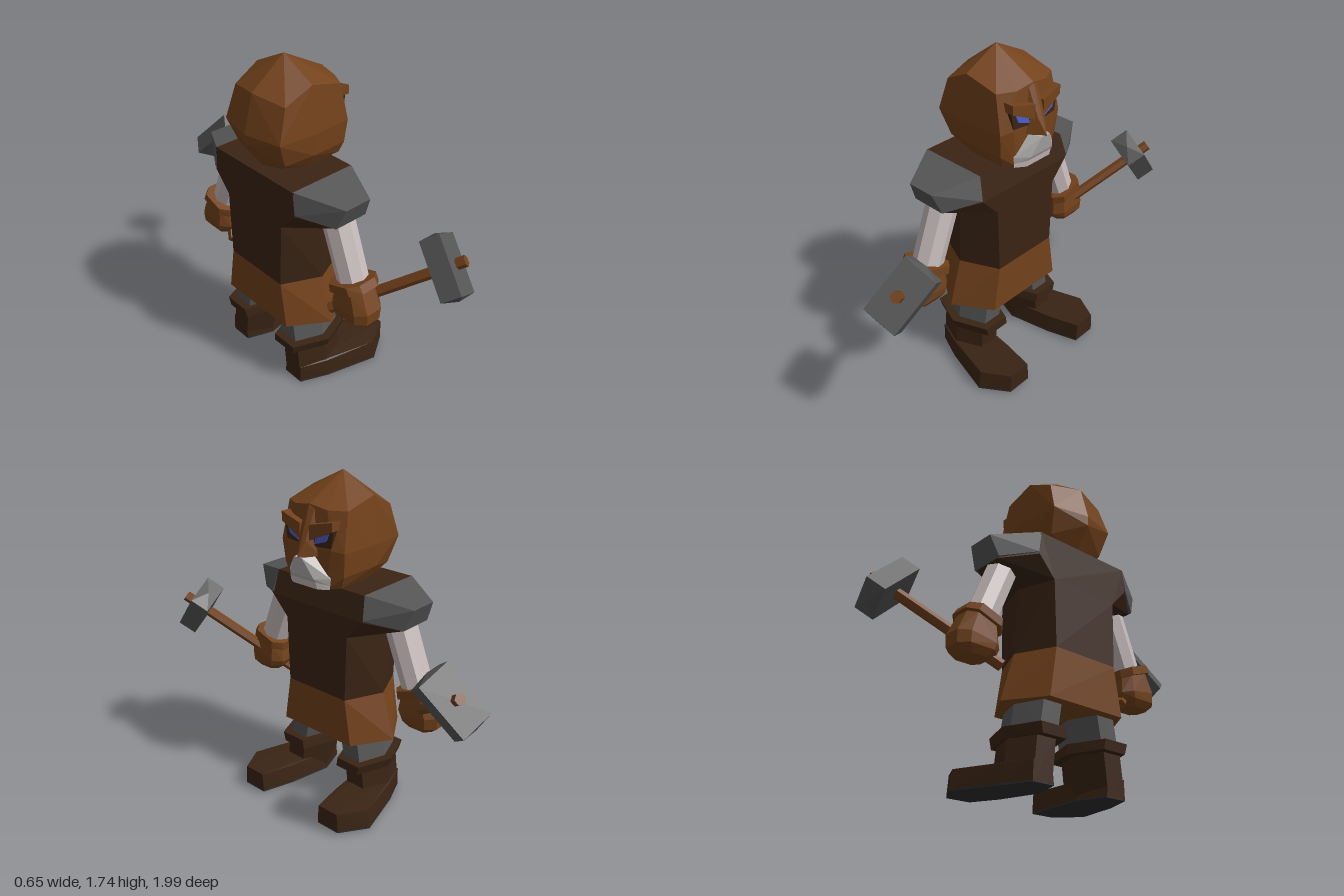
import * as THREE from 'three';
import { ConvexGeometry } from 'three/addons/geometries/ConvexGeometry.js';

const mat = (color) => new THREE.MeshStandardMaterial({ color, flatShading: true });
const brown = mat(0x73421b), dark = mat(0x3a2414), iron = mat(0x565656),
  cloth = mat(0xc8bcbc), blue = mat(0x4a5fd0), beardGrey = mat(0xb4b0b0), soleGrey = mat(0x303030);

export function createModel() {
  const model = new THREE.Group();

  // Faceted solid around a handful of corners; s mirrors it across z
  const solid = (parent, name, material, pts, s = 1) => {
    const geo = new ConvexGeometry(pts.map(([x, y, z]) => new THREE.Vector3(x, y, z * s)));
    const mesh = new THREE.Mesh(geo, material);
    mesh.name = name;
    parent.add(mesh);
    return mesh;
  };
  const both = (pts) => pts.flatMap(([x, y, z]) => (z ? [[x, y, z], [x, y, -z]] : [[x, y, z]]));

  // Faceted rod from a to b
  const rod = (parent, name, material, a, b, ra, rb, sides, s) => {
    const A = new THREE.Vector3(a[0], a[1], a[2] * s), B = new THREE.Vector3(b[0], b[1], b[2] * s);
    const dir = B.clone().sub(A);
    const mesh = new THREE.Mesh(new THREE.CylinderGeometry(rb, ra, dir.length(), sides), material);
    mesh.position.copy(A).add(B).multiplyScalar(0.5);
    mesh.quaternion.setFromUnitVectors(new THREE.Vector3(0, 1, 0), dir.normalize());
    mesh.name = name;
    parent.add(mesh);
  };

  // Tunic: six-sided bands
  const hex = (y, zSide, zFront) => both([[-0.09, y, zSide], [0.11, y, zFront], [-0.29, y, zFront]]);
  solid(model, 'skirt', brown, [...hex(0.385, 0.355, 0.23), ...hex(0.636, 0.28, 0.19)]);
  solid(model, 'chest', dark, [...hex(0.636, 0.28, 0.19), ...hex(0.985, 0.262, 0.2)]);
  solid(model, 'yoke', dark, [...hex(0.985, 0.262, 0.2), ...both([
    [-0.29, 1.215, 0.285], [0.08, 1.215, 0.285], [-0.29, 1.09, 0.295], [0.11, 1.09, 0.295],
    [-0.17, 1.056, 0.455], [-0.01, 1.056, 0.455]])]);

  // Head
  const head = new THREE.Group();
  head.name = 'head';
  model.add(head);
  solid(head, 'skull', brown, both([
    [-0.09, 1.74, 0], [-0.28, 1.6, 0], [-0.33, 1.41, 0], [-0.325, 1.36, 0], [-0.235, 1.22, 0],
    [0.145, 1.617, 0], [0.165, 1.42, 0], [0.165, 1.225, 0],
    [-0.09, 1.645, 0.19], [-0.235, 1.575, 0.175], [-0.285, 1.41, 0.195], [-0.235, 1.28, 0.17],
    [-0.09, 1.41, 0.215], [-0.09, 1.3, 0.208], [-0.09, 1.23, 0.165], [-0.2, 1.225, 0.1],
    [0.09, 1.6, 0.185], [0.13, 1.41, 0.2], [0.12, 1.29, 0.19], [0.11, 1.23, 0.165],
    [0.135, 1.6, 0.1], [0.155, 1.42, 0.14], [0.155, 1.225, 0.11]]));
  solid(head, 'nose', brown, both([
    [0.145, 1.6, 0.03], [0.15, 1.615, 0], [0.2, 1.457, 0.022], [0.235, 1.375, 0],
    [0.15, 1.38, 0.07], [0.15, 1.46, 0.035]]));
  solid(head, 'moustache', beardGrey, both([
    [0.23, 1.378, 0.025], [0.205, 1.28, 0.075], [0.15, 1.375, 0.05], [0.15, 1.28, 0.135],
    [0.15, 1.245, 0.13], [0.195, 1.262, 0.08]]));
  solid(head, 'beard', cloth, both([
    [0.195, 1.278, 0.07], [0.15, 1.278, 0.13], [0.185, 1.225, 0.08], [0.15, 1.225, 0.13]]));

  for (const s of [1, -1]) {
    // Sides are the character's own, facing +x
    const side = new THREE.Group();
    side.name = s > 0 ? 'rightSide' : 'leftSide';
    model.add(side);
    const part = (name, material, pts) => solid(side, name, material, pts, s);

    // Eye with socket and slanted brow
    const plate = (pts, x0, x1) => pts.flatMap(([y, z]) => {
      const slope = z * 0.12;
      return [[x0 - slope, y, z], [x1 - slope, y, z]];
    });
    part('eyeSocket', dark, plate([[1.52, 0.155], [1.43, 0.14], [1.425, 0.03], [1.46, 0.03]], 0.14, 0.173));
    part('eye', blue, plate([[1.5, 0.132], [1.46, 0.115], [1.438, 0.05], [1.467, 0.055]], 0.15, 0.178));
    part('brow', brown, plate([[1.56, 0.16], [1.515, 0.16], [1.455, 0.03], [1.53, 0.03]], 0.13, 0.19));

    // Shoulder pad
    part('shoulderPad', iron, [
      [-0.29, 1.217, 0.283], [0.08, 1.217, 0.283], [-0.292, 1.1, 0.3], [0.112, 1.1, 0.3],
      [-0.165, 1.17, 0.502], [-0.015, 1.17, 0.502], [-0.185, 1.06, 0.46], [0.005, 1.06, 0.46]]);

    // Arm and glove
    rod(side, 'sleeve', cloth, [-0.09, 0.72, 0.5], [-0.09, 1.06, 0.365], 0.078, 0.08, 8, s);
    const ring = (y, z, hx, hz, tilt) => [[-1, -0.6], [-1, 0.6], [-0.5, 1], [0.5, 1], [1, 0.6], [1, -0.6], [0.5, -1], [-0.5, -1]]
      .map(([u, v]) => [-0.095 + u * hx, y + v * hz * tilt, z + v * hz]);
    part('gloveCuff', brown, [...ring(0.755, 0.49, 0.1, 0.095, 0.35), ...ring(0.715, 0.505, 0.1, 0.105, 0.35)]);
    part('glove', brown, [...ring(0.72, 0.505, 0.08, 0.085, 0.35), ...ring(0.62, 0.525, 0.09, 0.118, 0.15),
      ...ring(0.575, 0.53, 0.085, 0.11, 0), ...ring(0.54, 0.53, 0.06, 0.07, 0)]);

    // Hammer: handle through the fist, block across its end
    rod(side, 'hammerHandle', brown, [-0.14, 0.53, 0.39], [0.2, 0.945, 0.91], 0.028, 0.028, 6, s);
    const d = new THREE.Vector3(0.34, 0.415, 0.52).normalize();
    const l = new THREE.Vector3(0.2, 0.69, -0.69);
    l.addScaledVector(d, -l.dot(d)).normalize();
    const w = new THREE.Vector3().crossVectors(d, l);
    const at = (a, b, c) => new THREE.Vector3(0.157, 0.89, 0.84)
      .addScaledVector(l, a).addScaledVector(d, b).addScaledVector(w, c).toArray();
    const block = [at(0.165, 0, 0), at(-0.165, 0, 0)];
    for (const a of [-0.147, 0.147]) for (const b of [-0.052, 0.052]) for (const c of [-0.09, 0.09]) block.push(at(a, b, c));
    part('hammerHead', iron, block);

    // Leg, boot shaft and cuff share a six-sided section
    const legRing = (y, z0, z1, x0 = -0.24, x1 = 0.05) => {
      const m = (z0 + z1) / 2, q = (z1 - z0) / 4, c = (x0 + x1) / 2;
      return [[x0, y, m - q], [x0, y, m + q], [c, y, z1], [x1, y, m + q], [x1, y, m - q], [c, y, z0]];
    };
    part('leg', iron, [...legRing(0.5, 0.04, 0.26), ...legRing(0.22, 0.09, 0.305)]);
    part('bootCuff', dark, [...legRing(0.263, 0.055, 0.345, -0.28, 0.09), ...legRing(0.212, 0.05, 0.33, -0.275, 0.09)]);
    part('bootShaft', dark, [...legRing(0.23, 0.095, 0.315), ...legRing(0.005, 0.12, 0.34)]);

    // Foot turned outwards, with a sole
    const foot = [[-0.24, 0.165], [-0.24, 0.285], [-0.095, 0.345], [0.18, 0.425], [0.325, 0.335], [0.325, 0.2], [0.15, 0.155], [-0.095, 0.115]];
    const lift = (x) => Math.max(0, x) * 0.05;
    part('foot', dark, foot.flatMap(([x, z]) => [[x, 0.006 + lift(x), z],
      [x, 0.1 + lift(x) * 1.5, 0.265 + (z - 0.265) * 0.9]]));
    part('sole', soleGrey, foot.flatMap(([x, z]) => [[x, lift(x), z], [x, 0.008 + lift(x), z]]));
  }
  return model;
}
